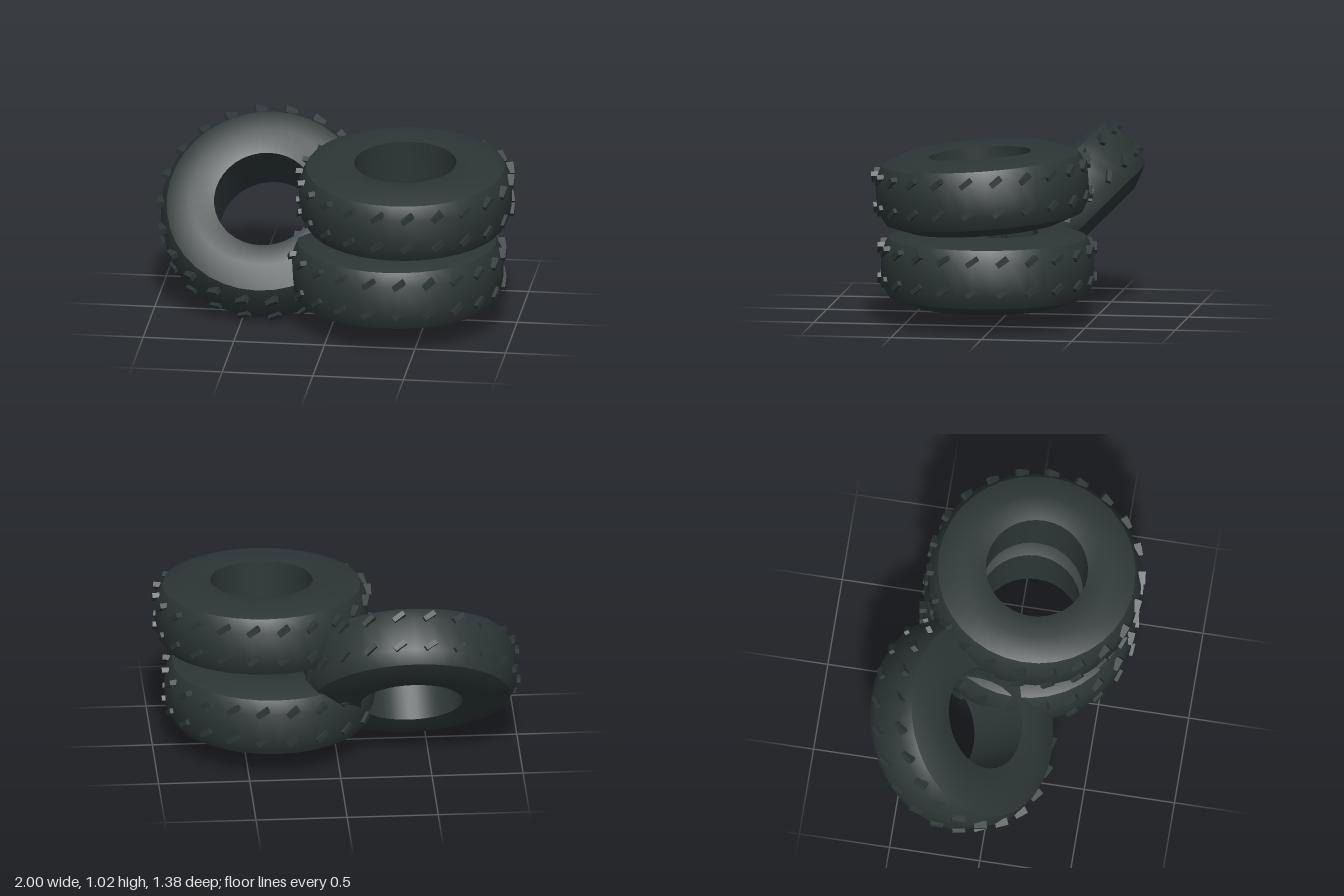
import * as THREE from 'three';
import { mergeGeometries, toCreasedNormals } from 'three/addons/utils/BufferGeometryUtils.js';

const TREADS = 22;

// Closed ring profile: hole wall, sidewalls, shoulders and running surface
function tyreBody() {
  const half = [[0.28, 0.187], [0.41, 0.213], [0.543, 0.162], [0.583, 0.088]];
  const bottom = half.map(([r, y]) => new THREE.Vector2(r, -y));
  const top = half.map(([r, y]) => new THREE.Vector2(r, y)).reverse();
  const lathe = new THREE.LatheGeometry([...bottom, ...top, bottom[0].clone()], 36);
  return toCreasedNormals(lathe, 0.6);
}

// Two rows of slanted tread blocks around the running surface
function treadBlocks() {
  const blocks = [];
  for (const y of [0.103, -0.066]) {
    for (let i = 0; i < TREADS; i++) {
      const block = new THREE.BoxGeometry(0.072, 0.028, 0.04);
      block.rotateZ(0.6);
      block.translate(0, y, 0.581);
      block.rotateY((i / TREADS) * Math.PI * 2 + Math.PI / 2);
      blocks.push(block);
    }
  }
  return mergeGeometries(blocks);
}

export function createModel() {
  const rubber = new THREE.MeshStandardMaterial({ color: 0x2c3535 });
  rubber.name = 'dark rubber';
  const bodyGeometry = tyreBody();
  const treadGeometry = treadBlocks();

  const model = new THREE.Group();
  model.name = 'tyrePile';

  function addTyre(name, position, tilt) {
    const tyre = new THREE.Group();
    tyre.name = name;
    const body = new THREE.Mesh(bodyGeometry, rubber);
    body.name = 'tyreBody';
    const treads = new THREE.Mesh(treadGeometry, rubber);
    treads.name = 'treadBlocks';
    tyre.add(body, treads);
    tyre.position.set(...position);
    tyre.rotation.x = tilt;
    model.add(tyre);
  }

  // Flat lower tyre, slightly tipped upper tyre, and one leaning on the stack
  addTyre('lowerTyre', [0.345, 0.318, 0.062], 0);
  addTyre('upperTyre', [0.395, 0.757, 0.083], 0.072);
  addTyre('leaningTyre', [-0.4, 0.505, -0.195], Math.PI / 4);
  return model;
}
